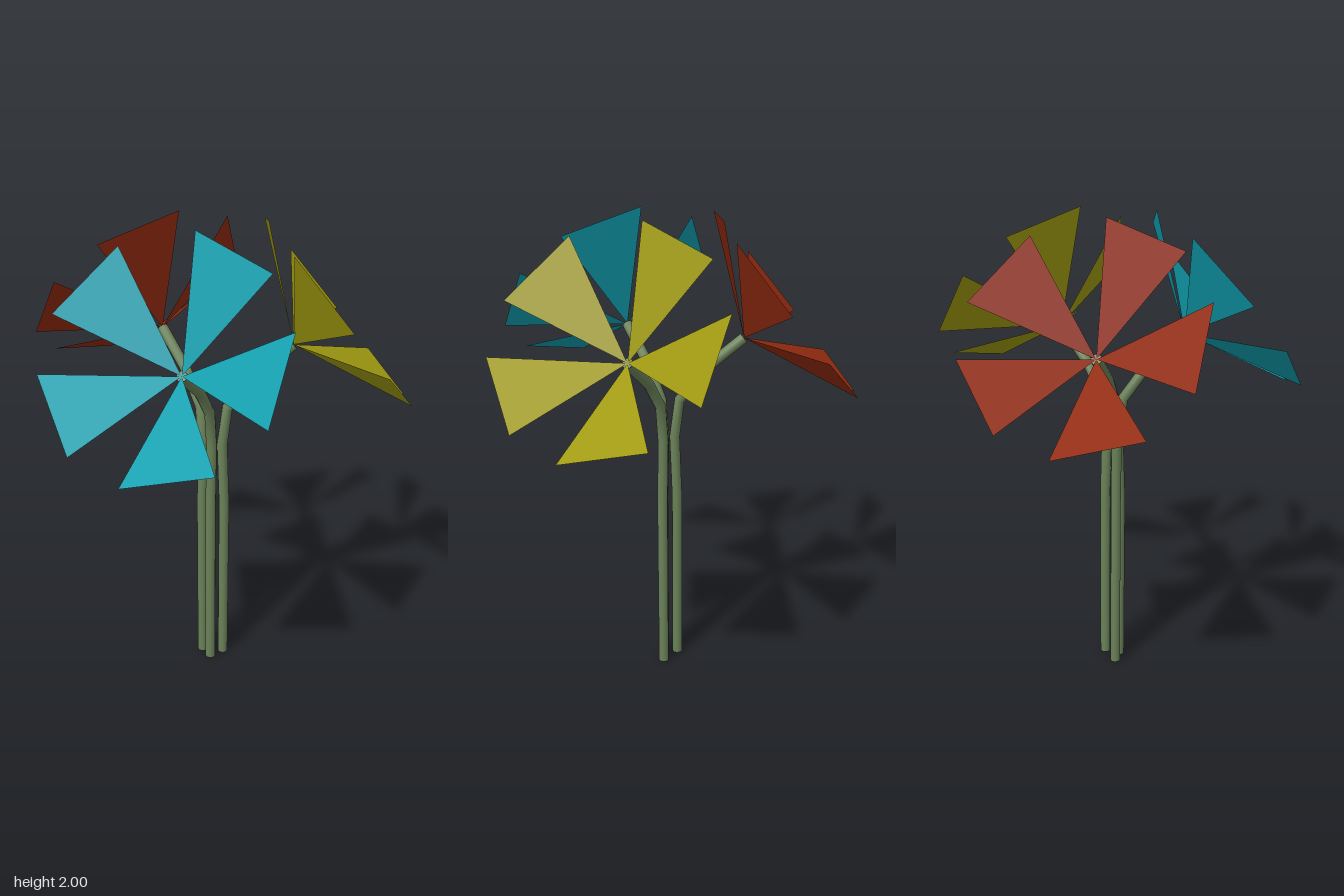
import * as THREE from 'three';

const rad = THREE.MathUtils.degToRad;
const STEM_COLOR = 0x6b8259;

// Stem: a coarse bent tube in the local xy plane, ending at the bloom centre (0, 1.5, 0)
function createStem() {
  const points = [[-0.27, 0], [-0.27, 0.8], [-0.28, 1.08], [-0.26, 1.24], [-0.16, 1.37], [0, 1.5]]
    .map(([x, y]) => new THREE.Vector3(x, y, 0));
  const curve = new THREE.CatmullRomCurve3(points);
  // Place the rings exactly on the control points
  curve.getPointAt = (t, target) => curve.getPoint(t, target);
  curve.getTangentAt = (t, target) => curve.getTangent(t, target);

  const material = new THREE.MeshStandardMaterial({ color: STEM_COLOR });
  const group = new THREE.Group();
  group.name = 'stem';
  const tube = new THREE.Mesh(new THREE.TubeGeometry(curve, points.length - 1, 0.022, 10), material);
  tube.name = 'stemTube';
  group.add(tube);

  // End caps
  for (const t of [0, 1]) {
    const cap = new THREE.Mesh(new THREE.CircleGeometry(0.022, 10), material);
    cap.name = t ? 'stemTopCap' : 'stemBottomCap';
    const outward = curve.getTangent(t).multiplyScalar(t ? 1 : -1);
    cap.quaternion.setFromUnitVectors(new THREE.Vector3(0, 0, 1), outward);
    cap.position.copy(points[t ? points.length - 1 : 0]);
    group.add(cap);
  }
  return group;
}

// Bloom: five triangular petals lying on a wide cone tilted outwards
function createBloom(color) {
  const depth = 0.214, radius = 0.47, step = 70.4, width = 42.4;
  const axis = new THREE.Vector3(0.777, 0.629, 0);
  const up = new THREE.Vector3(-0.629, 0.777, 0);
  const side = new THREE.Vector3(0, 0, -1);
  const rim = (deg) => new THREE.Vector3()
    .addScaledVector(axis, depth)
    .addScaledVector(up, radius * Math.cos(rad(deg)))
    .addScaledVector(side, radius * Math.sin(rad(deg)));

  const material = new THREE.MeshStandardMaterial({ color, flatShading: true, side: THREE.DoubleSide });
  const bloom = new THREE.Group();
  bloom.name = 'bloom';
  for (let i = 0; i < 5; i++) {
    const corners = [new THREE.Vector3(), rim(i * step), rim(i * step + width)];
    const geometry = new THREE.BufferGeometry().setFromPoints(corners);
    geometry.computeVertexNormals();
    const petal = new THREE.Mesh(geometry, material);
    petal.name = 'petal' + (i + 1);
    bloom.add(petal);
  }
  bloom.position.y = 1.5;
  return bloom;
}

export function createModel() {
  const model = new THREE.Group();
  model.name = 'flowers';

  // Three flowers leaning away from each other
  const flowers = [
    { name: 'redFlower', color: 0x922b10, x: -0.26, z: 0.035, turn: 180 },
    { name: 'tealFlower', color: 0x10a0b0, x: 0.205, z: 0.27, turn: -60 },
    { name: 'yellowFlower', color: 0xa09a10, x: 0.21, z: -0.265, turn: 60 },
  ];
  for (const { name, color, x, z, turn } of flowers) {
    const flower = new THREE.Group();
    flower.name = name;
    flower.add(createStem(), createBloom(color));
    flower.position.set(x, 0, z);
    flower.rotation.y = rad(turn);
    model.add(flower);
  }
  return model;
}
